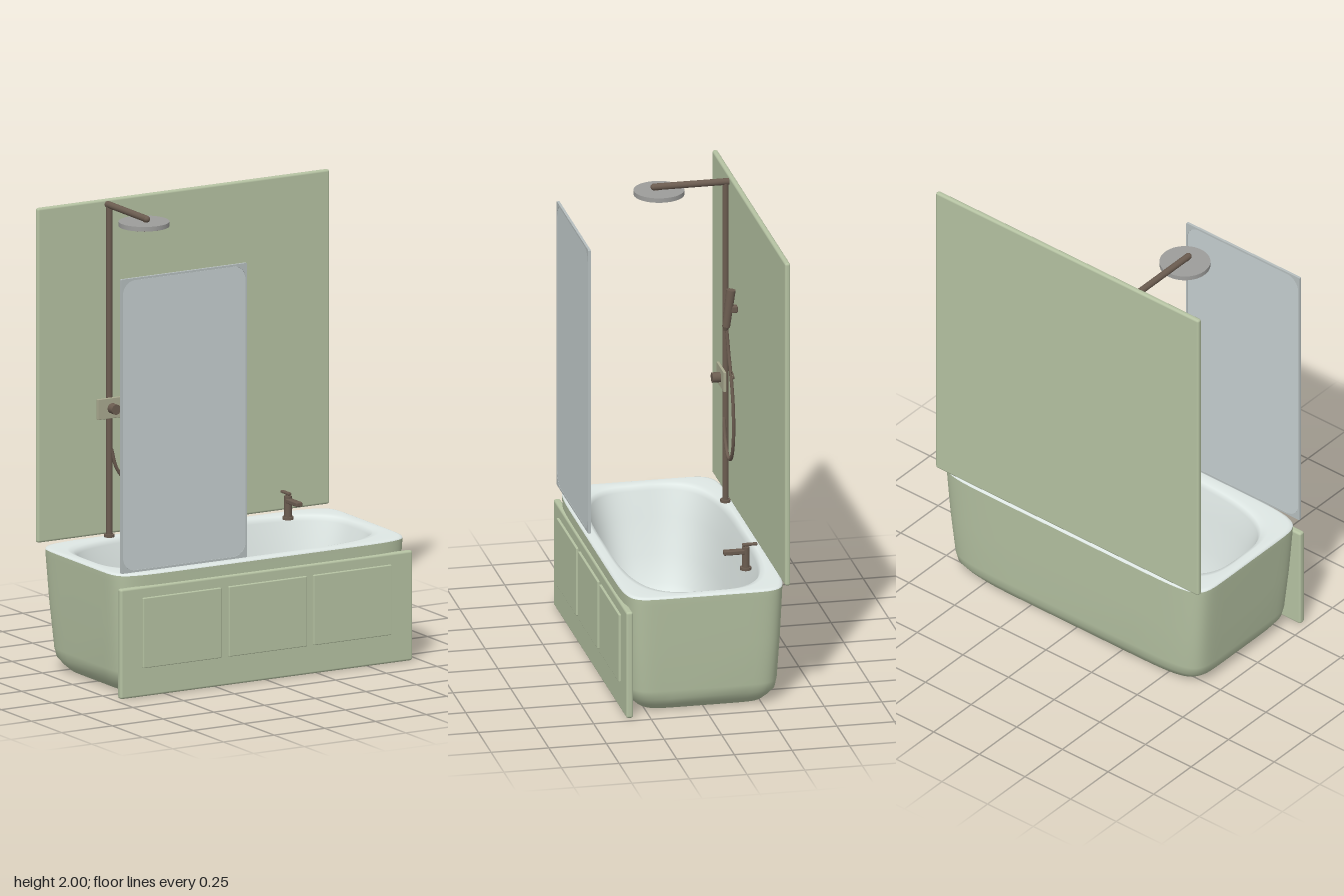
import * as THREE from 'three';
import { RoundedBoxGeometry } from 'three/addons/geometries/RoundedBoxGeometry.js';

const mat = (name, color, side = THREE.FrontSide) => {
  const m = new THREE.MeshStandardMaterial({ color, side });
  m.name = name;
  return m;
};

// Smooth skin through superellipse loops: [y, halfX, halfZ, centreZ, exponent]
function loft(loops, n = 96) {
  const pos = [], index = [];
  const sp = (v, e) => Math.sign(v) * Math.pow(Math.abs(v) < 1e-9 ? 0 : Math.abs(v), 2 / e);
  loops.forEach(([y, hx, hz, cz, e]) => {
    for (let j = 0; j < n; j++) {
      const t = ((j + 0.5) / n) * Math.PI * 2;
      pos.push(hx * sp(Math.cos(t), e), y, cz + hz * sp(Math.sin(t), e));
    }
  });
  for (let i = 0; i < loops.length - 1; i++) {
    for (let j = 0; j < n; j++) {
      const k = (j + 1) % n, a = i * n + j, b = a + n, c = i * n + k, d = c + n;
      index.push(a, b, c, c, b, d);
    }
  }
  const g = new THREE.BufferGeometry();
  g.setAttribute('position', new THREE.Float32BufferAttribute(pos, 3));
  g.setIndex(index);
  g.computeVertexNormals();
  return g;
}

function roundedRect(path, w, h, r) {
  const x = w / 2, y = h / 2;
  path.moveTo(-x + r, -y);
  path.lineTo(x - r, -y);
  path.absarc(x - r, -y + r, r, -Math.PI / 2, 0, false);
  path.lineTo(x, y - r);
  path.absarc(x - r, y - r, r, 0, Math.PI / 2, false);
  path.lineTo(-x + r, y);
  path.absarc(-x + r, y - r, r, Math.PI / 2, Math.PI, false);
  path.lineTo(-x, -y + r);
  path.absarc(-x + r, -y + r, r, Math.PI, Math.PI * 1.5, false);
  return path;
}

export function createModel() {
  const root = new THREE.Group();
  root.name = 'bathtubWithShower';
  const green = mat('sage green', 0xb5c2a2);
  const white = mat('enamel white', 0xe2ebe8);
  const bronze = mat('bronze', 0x6b5c50);
  const steel = mat('steel grey', 0x9d9d9b);
  const glass = mat('glass', 0xc5cecf);
  const trim = mat('glass trim', 0xb6bebe);
  const plate = mat('plate beige', 0xa9a98f);

  const add = (name, geo, m, x = 0, y = 0, z = 0, parent = root) => {
    const mesh = new THREE.Mesh(geo, m);
    mesh.name = name;
    mesh.position.set(x, y, z);
    parent.add(mesh);
    return mesh;
  };
  const cyl = (r, h, r2 = r, seg = 32) => new THREE.CylinderGeometry(r, r2, h, seg);
  const box = (w, h, d, r) => new RoundedBoxGeometry(w, h, d, 3, r);

  // Tub: green outer shell, white rim and basin
  add('tubShell', loft([
    [0.002, 0.001, 0.001, -0.006, 7], [0.002, 0.6, 0.27, -0.006, 7], [0.004, 0.63, 0.288, -0.006, 8],
    [0.03, 0.658, 0.31, -0.006, 8], [0.06, 0.678, 0.327, -0.006, 9], [0.1, 0.687, 0.334, -0.006, 9],
    [0.3, 0.703, 0.342, -0.006, 10], [0.5, 0.718, 0.349, -0.006, 10], [0.527, 0.719, 0.35, -0.006, 10],
  ]), green);
  add('tubBasin', loft([
    [0.527, 0.719, 0.35, -0.006, 10], [0.533, 0.716, 0.347, -0.006, 10], [0.536, 0.708, 0.34, -0.006, 9],
    [0.536, 0.68, 0.315, -0.01, 4], [0.531, 0.665, 0.304, -0.013, 3.4], [0.51, 0.655, 0.295, -0.013, 3.3],
    [0.4, 0.62, 0.275, -0.013, 3.2], [0.25, 0.57, 0.247, -0.013, 3.1], [0.14, 0.52, 0.22, -0.013, 3],
    [0.1, 0.48, 0.197, -0.013, 3], [0.084, 0.44, 0.172, -0.013, 3], [0.08, 0.38, 0.14, -0.013, 3],
    [0.078, 0.001, 0.001, -0.013, 3],
  ]), white);

  // Drain and overflow
  add('drain', cyl(0.024, 0.008), steel, 0, 0.083, -0.01);
  for (let i = -1; i <= 1; i++) add('drainSlot', new THREE.BoxGeometry(0.034, 0.003, 0.004), bronze, 0, 0.0875, -0.01 + i * 0.01);
  add('overflow', cyl(0.022, 0.01), steel, 0.476, 0.13, -0.01).rotation.z = Math.PI / 2;

  // Front apron with three raised panels
  add('apron', box(1.44, 0.478, 0.03, 0.01), green, 0, 0.241, 0.336);
  for (const x of [-0.422, 0, 0.418]) add('apronPanel', box(0.385, 0.305, 0.014, 0.004), green, x, 0.28, 0.354);

  // Back wall
  add('wallPanel', box(1.44, 1.455, 0.024, 0.01), green, 0, 1.2725, -0.349);

  // Glass screen: square trim around a rounded pane
  const outer = roundedRect(new THREE.Shape(), 0.62, 1.28, 0.004);
  outer.holes.push(roundedRect(new THREE.Path(), 0.605, 1.262, 0.06));
  const pane = roundedRect(new THREE.Shape(), 0.604, 1.261, 0.06);
  const slab = (s, d) => new THREE.ExtrudeGeometry(s, { depth: d, bevelEnabled: false, curveSegments: 10 }).translate(0, 0, -d / 2);
  add('screenTrim', slab(outer, 0.011), trim, -0.4, 1.185, 0.333);
  add('screenGlass', slab(pane, 0.009), glass, -0.4, 1.185, 0.333);

  // Shower column, arm and rain head
  const X = -0.378;
  add('showerColumn', cyl(0.013, 1.45), bronze, X, 1.257, -0.32);
  add('columnFoot', cyl(0.022, 0.012), bronze, X, 0.542, -0.32);
  add('showerArm', cyl(0.0145, 0.325), bronze, X, 1.98, -0.172).rotation.x = Math.PI / 2;
  add('armEnd', new THREE.SphereGeometry(0.0145, 24, 16), bronze, X, 1.98, -0.01);
  add('armElbow', new THREE.SphereGeometry(0.0145, 24, 16), bronze, X, 1.98, -0.32);
  add('headNeck', cyl(0.01, 0.03), bronze, X, 1.968, -0.02);
  add('rainHead', cyl(0.108, 0.02, 0.108, 64), steel, X, 1.956, -0.032);
  for (const [r, n] of [[0.03, 6], [0.06, 12], [0.088, 18]]) {
    for (let i = 0; i < n; i++) {
      const a = (i / n) * Math.PI * 2;
      add('nozzle', cyl(0.003, 0.006, 0.002, 8), bronze, X + r * Math.cos(a), 1.943, -0.032 + r * Math.sin(a));
    }
  }

  // Mixer with square plate and knob
  add('mixerPlate', box(0.14, 0.09, 0.012, 0.003), plate, X, 1.1, -0.303);
  add('mixerKnob', cyl(0.022, 0.038), bronze, X, 1.1, -0.28).rotation.x = Math.PI / 2;

  // Handset, its bracket and hose
  const handset = new THREE.Group();
  handset.name = 'handset';
  handset.position.set(-0.225, 1.465, -0.3);
  handset.rotation.x = -0.13;
  root.add(handset);
  add('handsetBody', cyl(0.02, 0.165, 0.017), bronze, 0, 0, 0, handset);
  add('handsetTip', cyl(0.017, 0.02, 0.008), bronze, 0, -0.09, 0, handset);
  add('handsetBracket', box(0.03, 0.03, 0.04, 0.005), bronze, -0.225, 1.46, -0.318);
  const path = new THREE.CatmullRomCurve3([
    [-0.225, 1.38, -0.291], [-0.215, 1.27, -0.298], [-0.178, 1.13, -0.304], [-0.165, 1.0, -0.308], [-0.185, 0.86, -0.311],
    [-0.235, 0.78, -0.312], [-0.29, 0.772, -0.312], [-0.345, 0.83, -0.312], [-0.372, 0.92, -0.313],
  ].map((p) => new THREE.Vector3(...p)));
  add('hose', new THREE.TubeGeometry(path, 80, 0.0075, 12), bronze);

  // Small floating ring in front of the wall
  const ring = add('wallRing', new THREE.TorusGeometry(0.0235, 0.0025, 10, 40), bronze, 0, 1.245, -0.268);
  ring.scale.y = 0.6;
  ring.rotation.x = 0.15;

  // Deck tap
  const tap = new THREE.Group();
  tap.name = 'tap';
  tap.position.set(0.447, 0.535, -0.226);
  root.add(tap);
  add('tapBase', cyl(0.024, 0.012), bronze, 0, 0.004, 0, tap);
  add('tapBody', cyl(0.016, 0.1), bronze, 0, 0.05, 0, tap);
  add('tapSpout', box(0.03, 0.02, 0.1, 0.005), bronze, 0, 0.08, 0.047, tap);
  add('tapStem', cyl(0.008, 0.02), bronze, 0, 0.1, 0, tap);
  add('tapLever', box(0.018, 0.011, 0.066, 0.004), bronze, 0, 0.11, -0.018, tap);

  return root;
}
